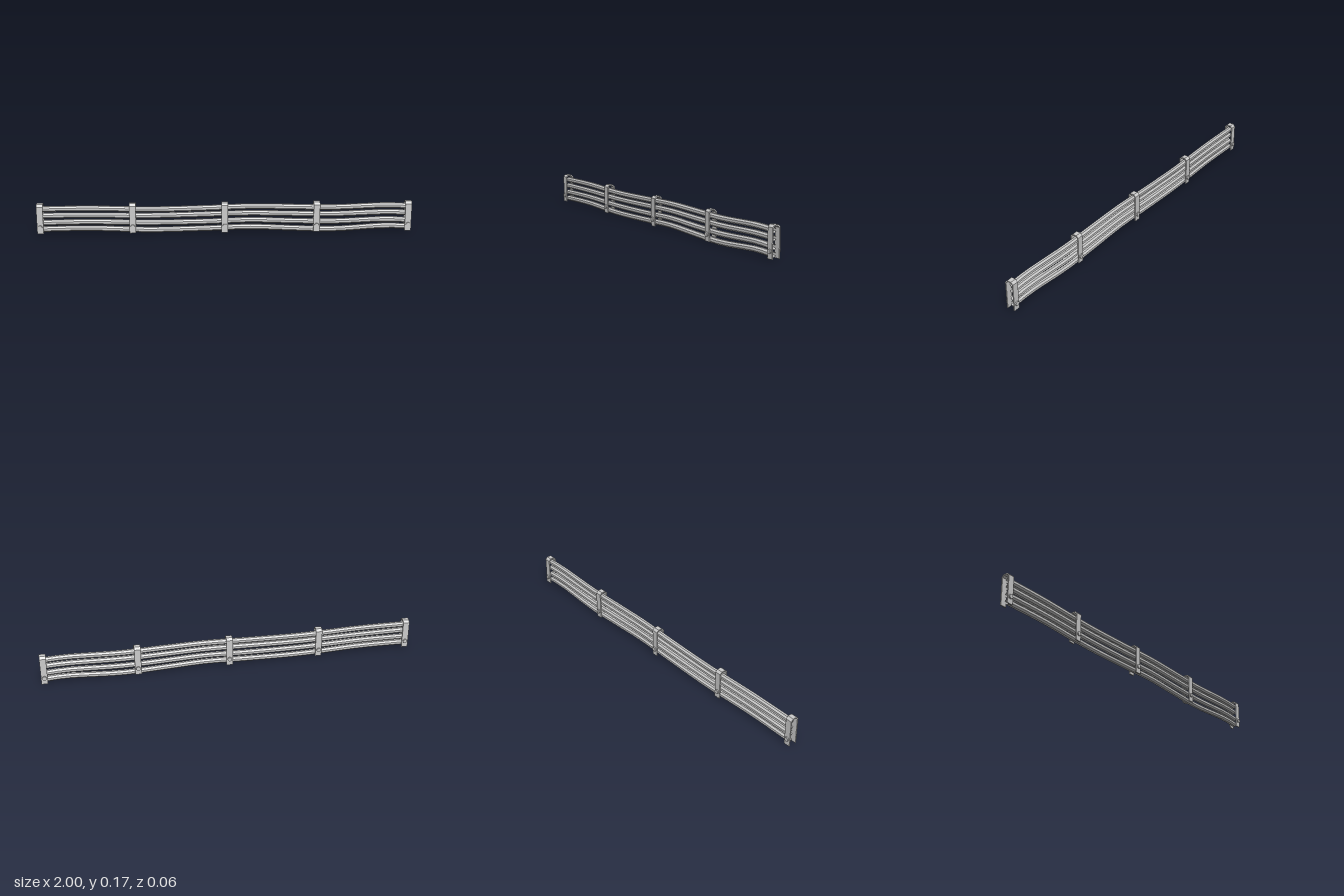
import * as THREE from 'three';

const material = new THREE.MeshStandardMaterial({ color: 0xcccccc, flatShading: true, side: THREE.DoubleSide });

// Open eight-sided tube along x whose height follows a gentle curve
function makeCable(heights) {
  const xs = [-0.98, -0.72, -0.4, -0.1, 0.13, 0.35, 0.58, 0.85, 0.98];
  const curve = new THREE.SplineCurve(xs.map((x, i) => new THREE.Vector2(x, heights[i])));
  const samples = curve.getPoints(160);
  const heightAt = (x) => {
    const i = samples.findIndex((p) => p.x >= x - 1e-6);
    if (i <= 0) return samples[i < 0 ? samples.length - 1 : 0].y;
    const a = samples[i - 1], b = samples[i];
    return THREE.MathUtils.lerp(a.y, b.y, (x - a.x) / (b.x - a.x));
  };
  const geo = new THREE.CylinderGeometry(0.0155, 0.0155, 1.96, 8, 28, true, Math.PI / 8);
  geo.rotateZ(Math.PI / 2);
  const pos = geo.attributes.position;
  for (let i = 0; i < pos.count; i++) pos.setY(i, pos.getY(i) + heightAt(pos.getX(i)));
  geo.computeVertexNormals();
  return new THREE.Mesh(geo, material);
}

// Inverted U strap with chamfered top corners, open at the bottom
function makeStrap() {
  const outer = [[-0.024, 0.008], [-0.024, 0.158], [-0.012, 0.17], [0.012, 0.17], [0.024, 0.158], [0.024, 0.008]];
  const inner = [[0.018, 0.008], [0.018, 0.155], [0.009, 0.164], [-0.009, 0.164], [-0.018, 0.155], [-0.018, 0.008]];
  const shape = new THREE.Shape([...outer, ...inner].map(([z, y]) => new THREE.Vector2(z, y)));
  const geo = new THREE.ExtrudeGeometry(shape, { depth: 0.034, bevelEnabled: false });
  geo.translate(0, 0, -0.017);
  geo.rotateY(Math.PI / 2);
  return new THREE.Mesh(geo, material);
}

export function createModel() {
  const model = new THREE.Group();
  model.name = 'cableRun';

  // Four sagging cables, listed from bottom to top
  const cables = [
    [0.028, 0.031, 0.02, 0.025, 0.032, 0.023, 0.0155, 0.031, 0.026],
    [0.064, 0.067, 0.06, 0.063, 0.07, 0.063, 0.058, 0.068, 0.062],
    [0.104, 0.104, 0.099, 0.104, 0.109, 0.104, 0.1, 0.108, 0.104],
    [0.14, 0.142, 0.134, 0.139, 0.146, 0.142, 0.137, 0.146, 0.141],
  ];
  cables.forEach((heights, i) => {
    const cable = makeCable(heights);
    cable.name = `cable${i + 1}`;
    model.add(cable);
  });

  // Five clamps, each a strap with a bolt on either side
  for (let i = -2; i <= 2; i++) {
    const clamp = new THREE.Group();
    clamp.name = `clamp${i + 3}`;
    const strap = makeStrap();
    strap.name = 'strap';
    clamp.add(strap);
    for (const side of [-1, 1]) {
      const bolt = new THREE.Mesh(new THREE.CylinderGeometry(0.012, 0.012, 0.008, 8), material);
      bolt.name = side > 0 ? 'frontBolt' : 'backBolt';
      bolt.rotation.x = Math.PI / 2;
      bolt.position.set(0, 0.045, side * 0.027);
      clamp.add(bolt);
    }
    clamp.position.x = i * 0.4915;
    model.add(clamp);
  }
  return model;
}
